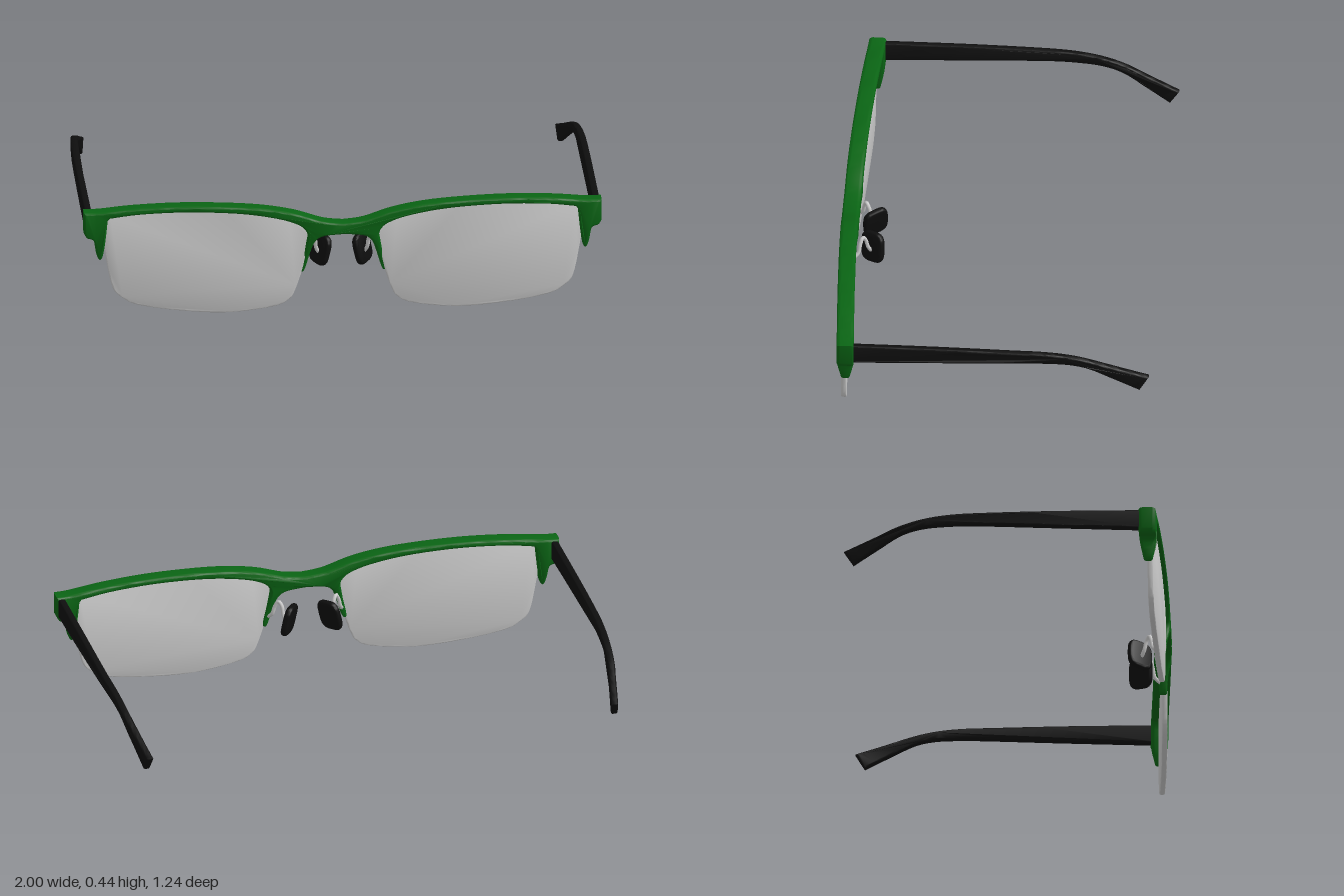
import * as THREE from 'three';
import { toCreasedNormals } from 'three/addons/utils/BufferGeometryUtils.js';

const green = new THREE.MeshStandardMaterial({ color: 0x0a6414 });
const black = new THREE.MeshStandardMaterial({ color: 0x0e0e0e });
const grey = new THREE.MeshStandardMaterial({ color: 0xcccccc });

// smooth run of [x, y] points
const run = (pts, n) =>
  new THREE.SplineCurve(pts.map(p => new THREE.Vector2(...p))).getPoints(n);

// rounded slab of a given total thickness, centred on z = 0
function slab(points, thickness, bevel, bevelDepth = bevel) {
  const geo = new THREE.ExtrudeGeometry(new THREE.Shape(points), {
    depth: thickness - 2 * bevelDepth, steps: 1,
    bevelSize: bevel, bevelOffset: -bevel, bevelThickness: bevelDepth, bevelSegments: 4,
  });
  return geo.translate(0, 0, bevelDepth - thickness / 2);
}

// move every vertex by a rule
function warp(geo, rule) {
  const p = geo.attributes.position, v = new THREE.Vector3();
  for (let i = 0; i < p.count; i++) {
    rule(v.fromBufferAttribute(p, i));
    p.setXYZ(i, v.x, v.y, v.z);
  }
  return geo;
}

const smooth = geo => toCreasedNormals(geo, 0.7);

// mirror across x = 0 and restore the corner order
function mirrored(geo) {
  const g = geo.index ? geo.toNonIndexed() : geo.clone();
  g.scale(-1, 1, 1);
  for (const name of ['position', 'normal']) {
    const a = g.attributes[name], b = new THREE.Vector3(), c = new THREE.Vector3();
    for (let i = 0; i < a.count; i += 3) {
      b.fromBufferAttribute(a, i + 1);
      c.fromBufferAttribute(a, i + 2);
      a.setXYZ(i + 1, c.x, c.y, c.z);
      a.setXYZ(i + 2, b.x, b.y, b.z);
    }
  }
  return g;
}

// wrap of the front seen from above
const wrapZ = x => 0.584 - 0.038 * Math.pow(Math.abs(x), 1.5);

function frameGeometry() {
  const half = [
    // brow line
    ...run([[0, 0.363], [0.08, 0.373], [0.2, 0.41], [0.36, 0.434], [0.6, 0.443], [0.8, 0.435], [0.94, 0.42], [1, 0.419]], 40),
    // end piece and outer prong
    ...run([[1, 0.335], [0.988, 0.315], [0.962, 0.303], [0.952, 0.25], [0.941, 0.222], [0.928, 0.232], [0.918, 0.29], [0.908, 0.385]], 24),
    // underside of the rim
    ...run([[0.9, 0.395], [0.78, 0.411], [0.6, 0.418], [0.4, 0.409], [0.25, 0.385], [0.17, 0.357], [0.142, 0.33]], 32),
    // inner prong and underside of the bridge
    ...run([[0.138, 0.315], [0.15, 0.25], [0.166, 0.175], [0.157, 0.162], [0.146, 0.18], [0.125, 0.25], [0.108, 0.29], [0.075, 0.311], [0, 0.318]], 32),
  ];
  const other = half.slice(1, -1).reverse().map(p => new THREE.Vector2(-p.x, p.y));
  // prongs are thinner than the rim
  return smooth(warp(slab([...half, ...other], 0.066, 0.008, 0.014), v => {
    v.z = v.z * (0.45 + 0.55 * THREE.MathUtils.smoothstep(v.y, 0.2, 0.32)) + wrapZ(v.x);
  }));
}

function lensGeometry() {
  const outline = [
    ...run([[0.122, 0.325], [0.15, 0.2], [0.185, 0.09], [0.21, 0.05], [0.27, 0.022], [0.44, 0], [0.62, 0.009],
      [0.79, 0.035], [0.855, 0.068], [0.89, 0.11], [0.915, 0.23], [0.93, 0.33], [0.925, 0.395]], 60),
    ...run([[0.9, 0.408], [0.78, 0.422], [0.6, 0.43], [0.4, 0.42], [0.25, 0.397], [0.15, 0.362]], 24),
  ];
  return smooth(warp(slab(outline, 0.022, 0.006), v => { v.z += wrapZ(v.x) + 0.006; }));
}

function templeGeometry() {
  // side profile, drawn with -z to the right
  const profile = [
    ...run([[-0.545, 0.412], [-0.2, 0.412], [0.1, 0.407], [0.22, 0.402], [0.32, 0.388], [0.41, 0.362], [0.51, 0.32], [0.622, 0.274]], 44),
    ...run([[0.586, 0.216], [0.49, 0.275], [0.4, 0.328], [0.32, 0.351], [0.22, 0.358], [0.1, 0.357], [-0.2, 0.345], [-0.545, 0.332]], 44),
  ];
  const inward = new THREE.SplineCurve([[-0.55, 0.981], [0, 0.981], [0.2, 0.977], [0.4, 0.963], [0.5, 0.946], [0.62, 0.924]]
    .map(p => new THREE.Vector2(...p)));
  const samples = inward.getPoints(100);
  const bend = t => {
    const i = samples.findIndex(s => s.x >= t);
    if (i < 1) return samples[i < 0 ? 100 : 0].y;
    const a = samples[i - 1], b = samples[i];
    return a.y + (b.y - a.y) * (t - a.x) / (b.x - a.x);
  };
  return smooth(warp(slab(profile, 0.028, 0.008).rotateY(Math.PI / 2), v => { v.x += bend(-v.z); }));
}

function padGeometry() {
  // superellipse plate
  const outline = [];
  for (let i = 0; i < 36; i++) {
    const a = i / 36 * Math.PI * 2, c = Math.cos(a), s = Math.sin(a);
    outline.push(new THREE.Vector2(
      0.053 * Math.sign(c) * Math.pow(Math.abs(c), 0.6),
      0.063 * Math.sign(s) * Math.pow(Math.abs(s), 0.6)));
  }
  return smooth(slab(outline, 0.026, 0.012))
    .rotateY(0.97).rotateZ(0.22).translate(0.081, 0.219, 0.497);
}

function padArmGeometry() {
  const path = new THREE.CatmullRomCurve3([
    [0.147, 0.205, 0.572], [0.136, 0.225, 0.55], [0.126, 0.262, 0.542], [0.114, 0.283, 0.534],
    [0.104, 0.268, 0.524], [0.099, 0.23, 0.514], [0.088, 0.205, 0.502],
  ].map(p => new THREE.Vector3(...p)));
  return new THREE.TubeGeometry(path, 32, 0.0075, 8);
}

export function createModel() {
  const model = new THREE.Group();
  model.name = 'eyeglasses';
  const add = (name, geo, material) => {
    const mesh = new THREE.Mesh(geo, material);
    mesh.name = name;
    model.add(mesh);
  };
  add('frameFront', frameGeometry(), green);
  const pairs = [
    ['Lens', lensGeometry(), grey],
    ['Temple', templeGeometry(), black],
    ['NosePad', padGeometry(), black],
    ['NosePadArm', padArmGeometry(), grey],
  ];
  for (const [name, geo, material] of pairs) {
    add('left' + name, geo, material);
    add('right' + name, mirrored(geo), material);
  }
  return model;
}
